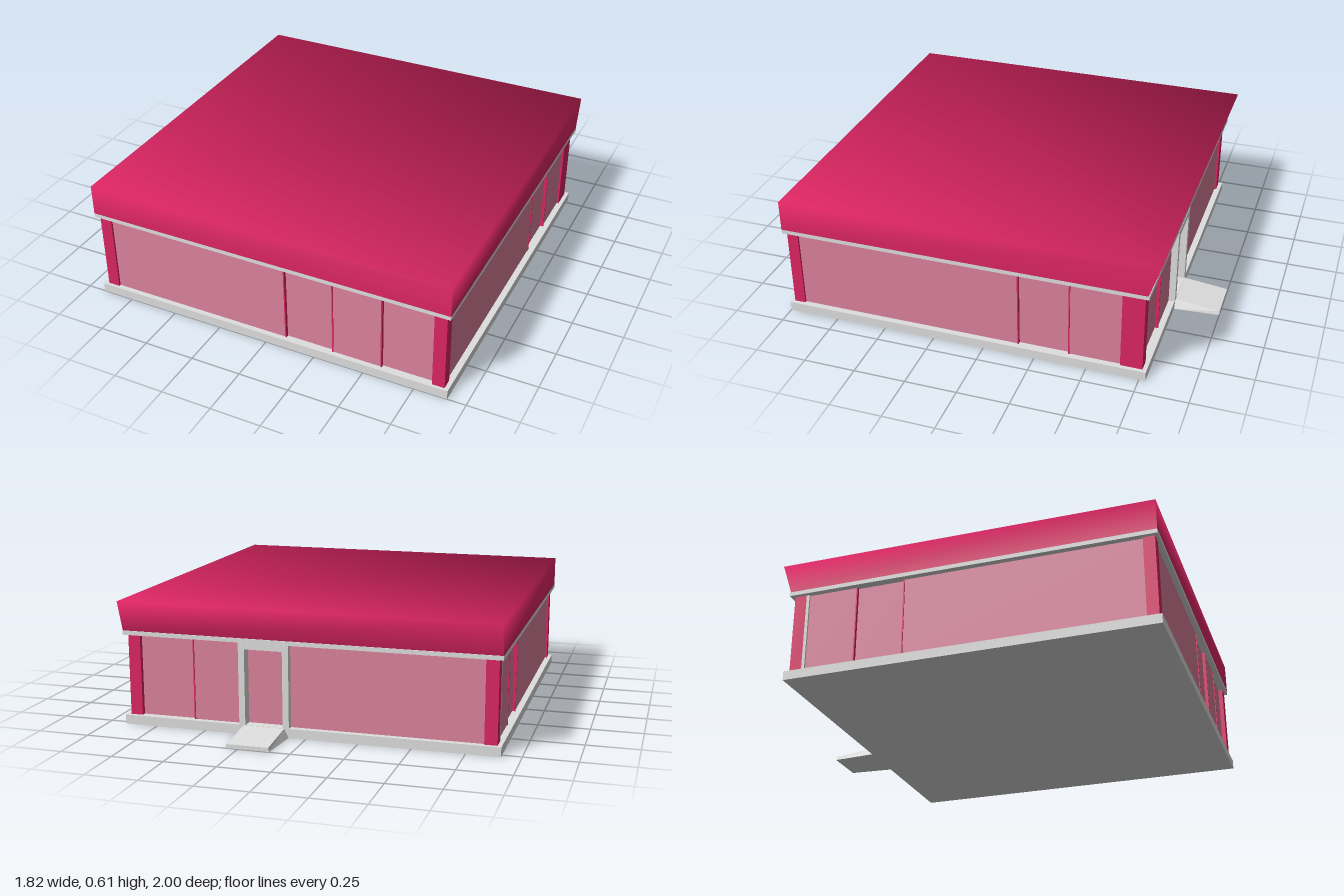
import * as THREE from 'three';

const crimson = new THREE.MeshStandardMaterial({ color: 0xdc2563 });
crimson.name = 'crimson';
const pink = new THREE.MeshStandardMaterial({ color: 0xdc829d });
pink.name = 'pinkGlass';
const grey = new THREE.MeshStandardMaterial({ color: 0xdedede });
grey.name = 'paleGrey';

// Box given by its minimum and maximum on each axis
function box(parent, name, mat, x0, x1, y0, y1, z0, z1) {
  const mesh = new THREE.Mesh(new THREE.BoxGeometry(x1 - x0, y1 - y0, z1 - z0), mat);
  mesh.position.set((x0 + x1) / 2, (y0 + y1) / 2, (z0 + z1) / 2);
  mesh.name = name;
  parent.add(mesh);
}

// Roof block: back leans outward, normals are shared around the top rim
function roofGeometry() {
  const y0 = 0.46, y1 = 0.61, w = 0.91;
  const corners = [[-1, 1], [1, 1], [1, -1], [-1, -1]];
  const top = corners.map(([sx, sz]) => [sx * w, y1, sz > 0 ? 1 : -0.825]);
  const low = corners.map(([sx, sz]) => [sx * w, y0, sz > 0 ? 1 : -0.775]);
  const sideNormals = [[0, 0, 1], [1, 0, 0], [0, -0.316, -0.949], [-1, 0, 0]];
  const pos = top.flat(), nor = [], index = [0, 1, 2, 0, 2, 3];
  const s = 1 / Math.sqrt(3);
  corners.forEach(([sx, sz]) => nor.push(sx * s, s, sz * s));
  // rows split along the other diagonal
  index.splice(0, 6, 0, 1, 2, 0, 2, 3);
  for (let i = 0; i < 4; i++) {
    const j = (i + 1) % 4, a = pos.length / 3;
    pos.push(...low[i], ...low[j]);
    nor.push(...sideNormals[i], ...sideNormals[i]);
    index.push(a, a + 1, j, a, j, i);
  }
  // underside
  const b = pos.length / 3;
  low.forEach((p) => { pos.push(...p); nor.push(0, -1, 0); });
  index.push(b, b + 2, b + 1, b, b + 3, b + 2);
  // diagonal of the top runs from back right to front left
  index.splice(0, 6, 0, 1, 2, 0, 2, 3);
  const g = new THREE.BufferGeometry();
  g.setAttribute('position', new THREE.Float32BufferAttribute(pos, 3));
  g.setAttribute('normal', new THREE.Float32BufferAttribute(nor, 3));
  g.setIndex(index);
  return g;
}

// Entrance ramp: a wedge whose sides splay out at the foot
function rampGeometry() {
  const g = new THREE.BoxGeometry(1, 1, 1).toNonIndexed();
  const p = g.attributes.position;
  for (let i = 0; i < p.count; i++) {
    const sx = Math.sign(p.getX(i)), up = p.getY(i) > 0, outer = p.getZ(i) < 0;
    const half = up ? 0.1 : outer ? 0.105 : 0.122;
    p.setXYZ(i, 0.203 + sx * half, up ? (outer ? 0.02 : 0.045) : 0.001, outer ? -1 : -0.77);
  }
  g.computeVertexNormals();
  return g;
}

// Row of wall panels between seams, alternating in depth, with thin fins at the seams.
// axis 'x' runs along x (wall faces z), axis 'z' runs along z (wall faces x).
function panelRow(parent, name, axis, face, dir, seams) {
  const group = new THREE.Group();
  group.name = name;
  const put = (n, mat, a0, a1, f0, f1) => {
    const lo = Math.min(f0, f1), hi = Math.max(f0, f1);
    if (axis === 'x') box(group, n, mat, a0, a1, 0.045, 0.44, lo, hi);
    else box(group, n, mat, lo, hi, 0.045, 0.44, a0, a1);
  };
  for (let i = 0; i < seams.length - 1; i++) {
    const depth = i % 2 ? 0.012 : 0;
    put('panel', pink, seams[i], seams[i + 1], face - dir * depth, face - dir * (depth + 0.02));
    if (i > 0) put('seamFin', crimson, seams[i] - 0.003, seams[i] + 0.003, face + dir * 0.004, face - dir * 0.03);
  }
  parent.add(group);
}

export function createModel() {
  const model = new THREE.Group();
  model.name = 'pavilion';

  // Floor slab and the band under the roof
  box(model, 'floorSlab', grey, -0.91, 0.91, 0, 0.045, -0.78, 1);
  box(model, 'eaveBand', grey, -0.91, 0.91, 0.44, 0.46, -0.78, 1);

  const roof = new THREE.Mesh(roofGeometry(), crimson);
  roof.name = 'roof';
  model.add(roof);

  // Corner posts
  for (const s of [-1, 1]) {
    const x0 = s > 0 ? 0.83 : -0.89;
    box(model, 'frontPost', crimson, x0, x0 + 0.06, 0.045, 0.44, 0.93, 0.985);
    box(model, 'backPost', crimson, x0, x0 + 0.06, 0.045, 0.44, -0.76, s > 0 ? -0.655 : -0.7);
  }
  box(model, 'postTrim', grey, -0.89, -0.86, 0.045, 0.44, -0.7, -0.685);

  // Walls
  panelRow(model, 'frontWall', 'x', 0.975, 1, [-0.83, 0.095, 0.338, 0.58, 0.83]);
  panelRow(model, 'leftWall', 'z', 0.88, 1, [-0.655, -0.41, -0.165, 0.93]);
  panelRow(model, 'rightWall', 'z', -0.88, -1, [-0.685, -0.44, -0.2, 0.93]);
  panelRow(model, 'backWallLeft', 'x', -0.75, -1, [0.315, 0.56, 0.83]);
  panelRow(model, 'backWallRight', 'x', -0.75, -1, [-0.83, 0.09]);

  // Door with a deep frame
  const door = new THREE.Group();
  door.name = 'door';
  for (const x of [0.08, 0.295]) box(door, 'doorJamb', grey, x, x + 0.03, 0.045, 0.44, -0.782, -0.7);
  box(door, 'doorLintel', grey, 0.11, 0.295, 0.41, 0.44, -0.782, -0.7);
  box(door, 'doorLeaf', pink, 0.11, 0.295, 0.045, 0.41, -0.73, -0.71);
  model.add(door);

  const ramp = new THREE.Mesh(rampGeometry(), grey);
  ramp.name = 'entranceRamp';
  model.add(ramp);

  return model;
}
